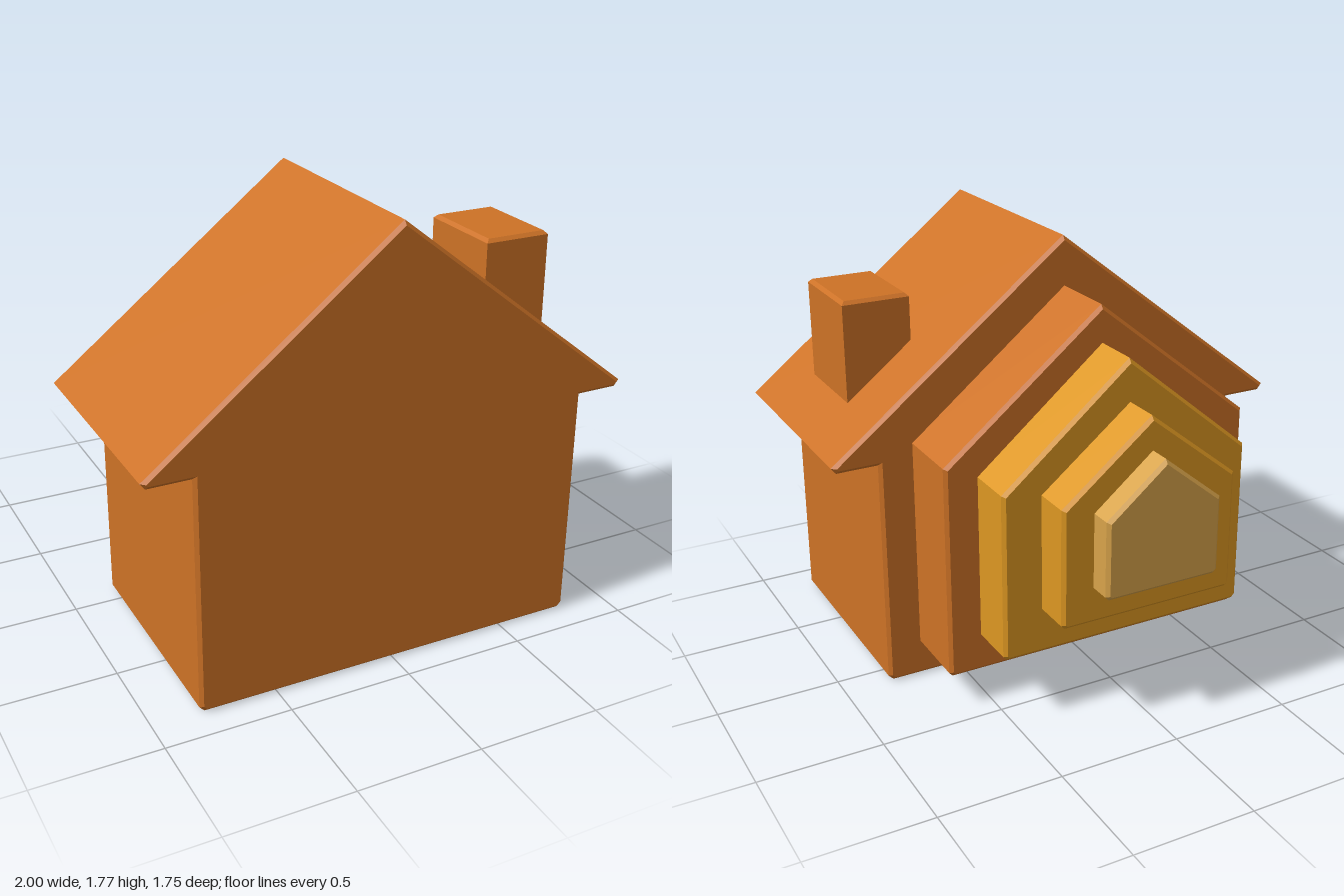
import * as THREE from 'three';

const BEVEL = 0.014;

// Extrudes a closed outline along z with chamfered rims that stay inside the outline
function prism(points, zBack, zFront) {
  const shape = new THREE.Shape(points.map(([x, y]) => new THREE.Vector2(x, y)));
  const geometry = new THREE.ExtrudeGeometry(shape, {
    depth: zFront - zBack - 2 * BEVEL,
    bevelEnabled: true,
    bevelSegments: 1,
    bevelSize: BEVEL,
    bevelOffset: -BEVEL,
    bevelThickness: BEVEL,
  });
  return geometry.translate(0, 0, zBack + BEVEL);
}

// Completes a right-hand outline (listed bottom to top) with its mirror image and a peak
function gable(side, peak) {
  const mirrored = side.map(([x, y]) => [-x, y]).reverse();
  return [...side, [0, peak], ...mirrored];
}

export function createModel() {
  const group = new THREE.Group();
  const orange = new THREE.MeshStandardMaterial({ name: 'burnt orange', color: 0xcd7226 });
  const amber = new THREE.MeshStandardMaterial({ name: 'amber', color: 0xdd9722 });
  const sand = new THREE.MeshStandardMaterial({ name: 'sand', color: 0xd8a34a });

  const add = (name, geometry, material) => {
    const mesh = new THREE.Mesh(geometry, material);
    mesh.name = name;
    group.add(mesh);
    return mesh;
  };

  // House body with its overhanging roof
  const house = [[0.79, 0], [0.81, 0.02], [0.81, 0.96], [0.98, 0.96], [1, 0.985]];
  add('house', prism(gable(house, 1.77), -0.1, 0.875), orange);

  // Stepped gabled layers shrinking towards the back
  const layers = [
    { name: 'backLayerLarge', w: 0.67, base: 0.14, eave: 1.03, peak: 1.57, z: [-0.4, -0.06], material: orange },
    { name: 'backLayerMedium', w: 0.535, base: 0.285, eave: 0.975, peak: 1.42, z: [-0.61, -0.36], material: amber },
    { name: 'backLayerSmall', w: 0.375, base: 0.46, eave: 0.95, peak: 1.25, z: [-0.775, -0.57], material: amber },
    { name: 'backLayerTip', w: 0.245, base: 0.595, eave: 0.915, peak: 1.115, z: [-0.875, -0.73], material: sand },
  ];
  for (const { name, w, base, eave, peak, z, material } of layers) {
    const side = [[w - 0.015, base], [w, base + 0.015], [w, eave]];
    add(name, prism(gable(side, peak), z[0], z[1]), material);
  }

  // Chimney on the left roof slope, extruded upwards
  const plan = [[-0.14, -0.195], [0.14, -0.195], [0.14, 0.195], [-0.14, 0.195]];
  const chimney = add('chimney', prism(plan, 1, 1.54).rotateX(-Math.PI / 2), orange);
  chimney.position.set(0.68, 0, 0.385);

  return group;
}
